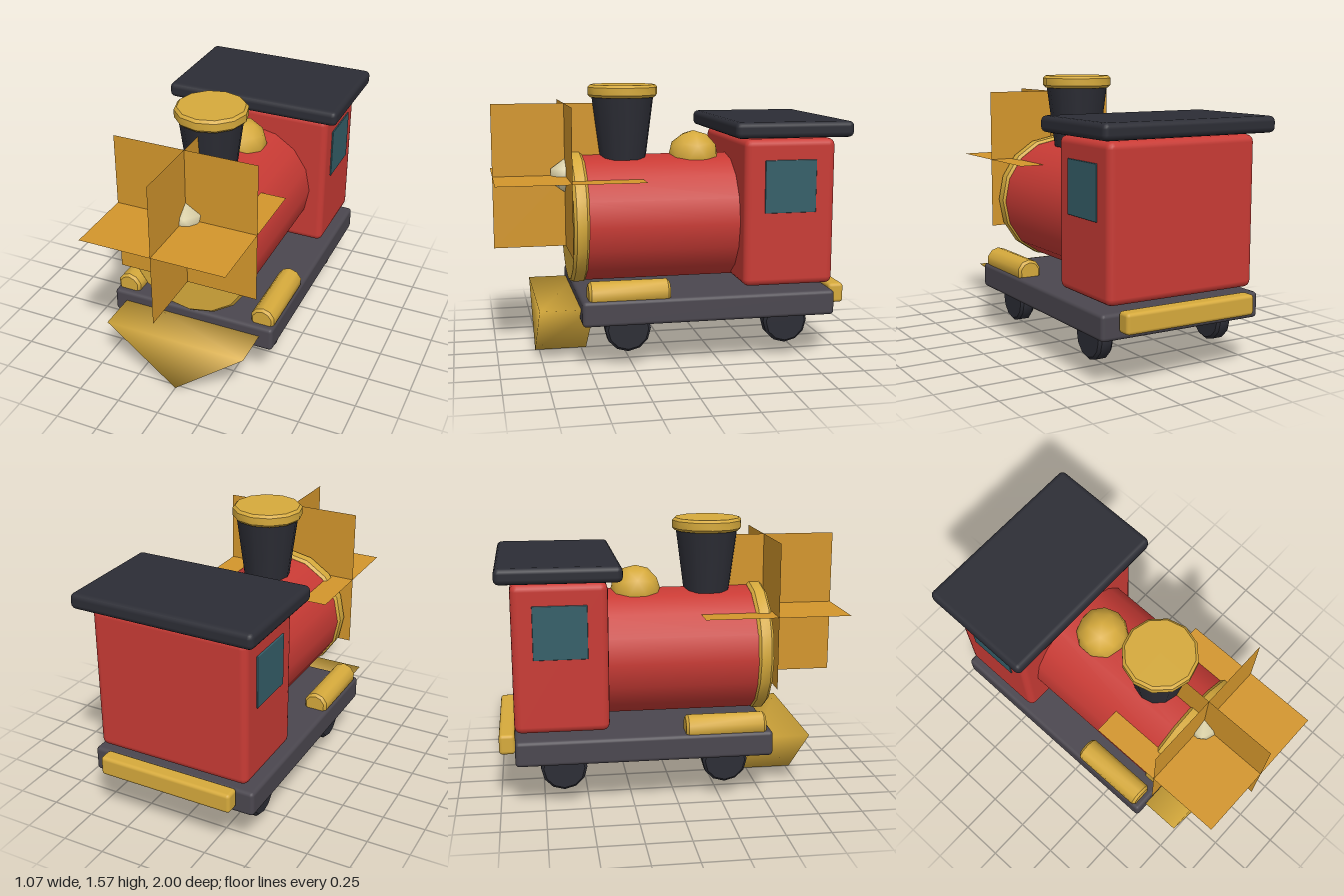
import * as THREE from 'three';
import { toCreasedNormals } from 'three/addons/utils/BufferGeometryUtils.js';
import { RoundedBoxGeometry } from 'three/addons/geometries/RoundedBoxGeometry.js';

function material(name, color, side = THREE.FrontSide) {
  const m = new THREE.MeshStandardMaterial({ color, side });
  m.name = name;
  return m;
}

// Bevelled drum around the y axis
function drum(radius, height, sides, bevel) {
  const h = height / 2;
  const profile = [
    [0, -h], [radius - bevel, -h], [radius, -h + bevel],
    [radius, h - bevel], [radius - bevel, h], [0, h],
  ].map(([x, y]) => new THREE.Vector2(x, y));
  return toCreasedNormals(new THREE.LatheGeometry(profile, sides), 0.7);
}

// Smooth low-poly ball with its poles on the y axis
function ball(radius, detail) {
  const g = new THREE.IcosahedronGeometry(radius, detail);
  g.rotateX(-Math.atan((1 + Math.sqrt(5)) / 2)).rotateY(Math.PI / 2);
  const p = g.attributes.position, v = new THREE.Vector3();
  for (let i = 0; i < p.count; i++) {
    v.fromBufferAttribute(p, i).normalize();
    g.attributes.normal.setXYZ(i, v.x, v.y, v.z);
  }
  return g;
}

// Softly shaded wedge: a triangular prism pointing down
function wedge(halfWidth, height, back, front) {
  const g = new THREE.BufferGeometry();
  const points = [back, front].flatMap((z) => [-halfWidth, height, z, halfWidth, height, z, 0, 0, z]);
  g.setAttribute('position', new THREE.Float32BufferAttribute(points, 3));
  g.setIndex([
    0, 1, 2, 3, 5, 4, // ends
    0, 3, 4, 0, 4, 1, // top
    0, 2, 5, 0, 5, 3, // left slope
    1, 4, 5, 1, 5, 2, // right slope
  ]);
  g.computeVertexNormals();
  return g;
}

export function createModel() {
  const group = new THREE.Group();
  const red = material('red paint', 0xc93b35);
  const gold = material('brass', 0xd6aa3c);
  const amber = material('amber glow', 0xd3962c, THREE.DoubleSide);
  const dark = material('dark iron', 0x2c2d35);
  const grey = material('grey chassis', 0x4b474f);
  const teal = material('teal glass', 0x355f69);
  const cream = material('cream lamp', 0xe0d6ac);

  function add(name, geometry, mat, x, y, z) {
    const mesh = new THREE.Mesh(geometry, mat);
    mesh.name = name;
    mesh.position.set(x, y, z);
    group.add(mesh);
    return mesh;
  }
  const box = (name, mat, w, h, d, r, x, y, z) =>
    add(name, new RoundedBoxGeometry(w, h, d, 2, r), mat, x, y, z);

  // Chassis, cab and roof
  box('chassis', grey, 1, 0.145, 1.455, 0.022, 0, 0.333, -0.183);
  box('cab', red, 0.92, 0.84, 0.53, 0.04, 0, 0.857, -0.645);
  box('roof', dark, 1.07, 0.09, 0.685, 0.03, 0, 1.333, -0.648);
  box('rearBumper', gold, 0.81, 0.115, 0.09, 0.02, 0, 0.363, -0.955);

  // Boiler and its front ring
  add('boiler', new THREE.CylinderGeometry(0.37, 0.37, 0.98, 16).rotateX(Math.PI / 2), red, 0, 0.792, 0.02);
  add('boilerRing', drum(0.383, 0.09, 16, 0.016).rotateX(Math.PI / 2), gold, 0, 0.797, 0.525);

  // Chimney and dome
  add('chimney', new THREE.CylinderGeometry(0.182, 0.135, 0.36, 12), dark, 0, 1.32, 0.237);
  add('chimneyCap', drum(0.205, 0.073, 12, 0.015), gold, 0, 1.533, 0.237);
  add('steamDome', ball(0.15, 1), gold, 0, 1.146, -0.185);

  // Headlamp with three crossed glow panels
  add('headlamp', ball(0.1, 0), cream, 0, 1.045, 0.58);
  const panel = () => new THREE.PlaneGeometry(0.836, 0.836);
  add('glowPanelFront', panel(), amber, 0, 1.046, 0.581);
  add('glowPanelSide', panel().rotateY(Math.PI / 2), amber, 0, 1.046, 0.581);
  add('glowPanelFlat', panel().rotateX(-Math.PI / 2), amber, 0, 1.046, 0.581);

  // Front plough
  add('plough', wedge(0.424, 0.347, 0.47, 0.775), gold, 0, 0, 0);

  // Mirrored side parts
  for (const side of [-1, 1]) {
    box('cabWindow', teal, 0.016, 0.3, 0.3, 0.004, side * 0.46, 1.01, -0.645);
    add('sideCylinder', drum(0.073, 0.46, 10, 0.015).rotateX(Math.PI / 2), gold, side * 0.423, 0.432, 0.277);
    for (const z of [0.28, -0.64])
      add('wheel', drum(0.13, 0.09, 12, 0.015).rotateZ(Math.PI / 2), dark, side * 0.385, 0.22, z);
  }
  return group;
}
